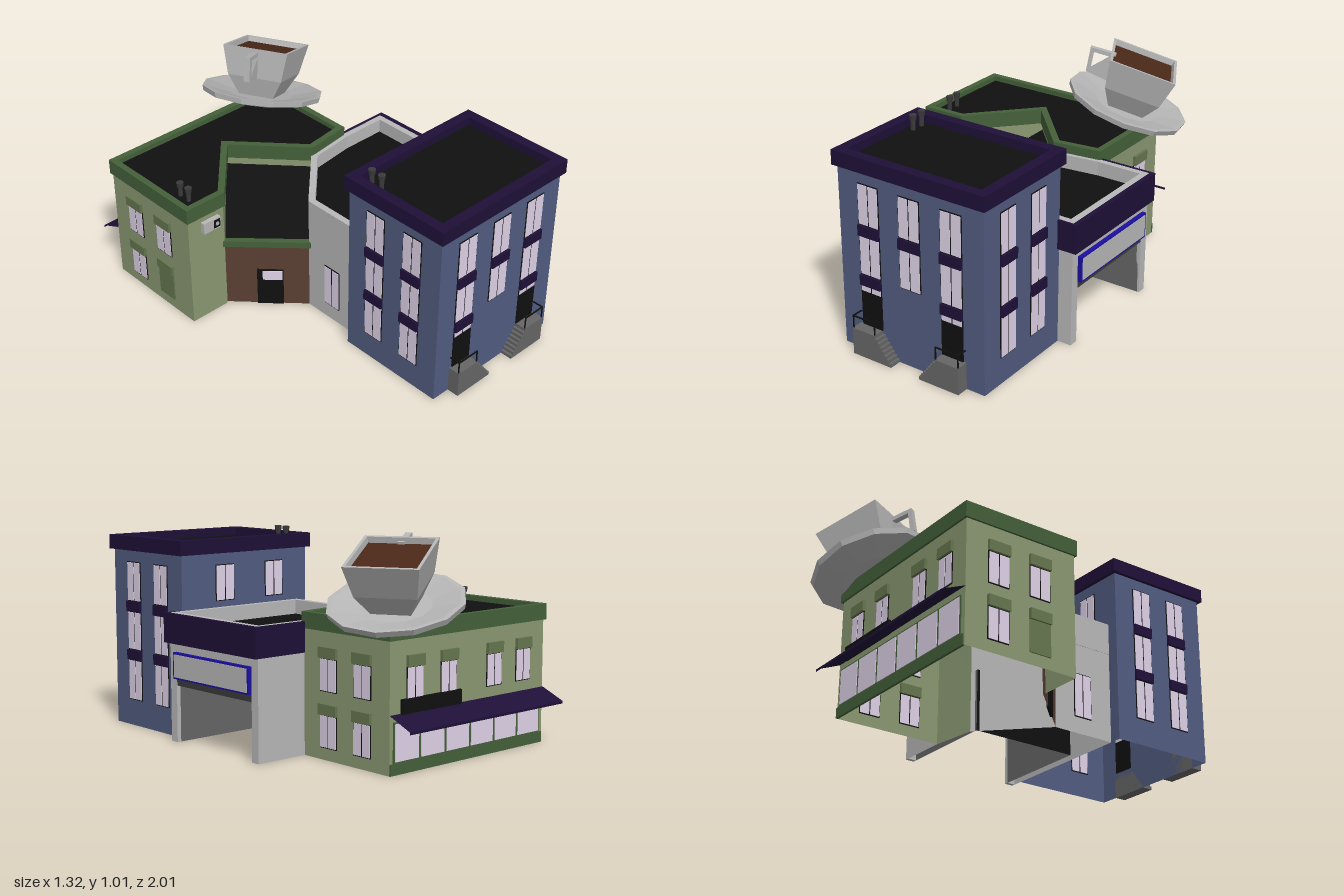
import * as THREE from 'three';

const C = { blue: 0x515c80, purple: 0x1f1038, green: 0x8a9872, trim: 0x44603a, lintel: 0x66764f, brown: 0x5a3f33,
  grey: 0xb8b8b8, stone: 0x666666, dark: 0x3a3a3a, black: 0x101010, glass: 0xdfd3e8, cup: 0xb4b4b4, coffee: 0x4a2818, sign: 0x1c10a0 };
const mats = {};
const mat = (c) => (mats[c] ??= new THREE.MeshStandardMaterial({ color: C[c], flatShading: true, side: THREE.DoubleSide }));

function add(parent, name, geo, color) {
  const m = new THREE.Mesh(geo, mat(color));
  m.name = name;
  parent.add(m);
  return m;
}
function box(parent, name, color, w, h, d, x, y, z) {
  const m = add(parent, name, new THREE.BoxGeometry(w, h, d), color);
  m.position.set(x, y, z);
  return m;
}
function group(parent, name, x = 0, y = 0, z = 0, ry = 0) {
  const g = new THREE.Group();
  g.name = name;
  g.position.set(x, y, z);
  g.rotation.y = ry;
  parent.add(g);
  return g;
}
const rect = (x0, z0, x1, z1) => [[x0, z0], [x1, z0], [x1, z1], [x0, z1]];

// Mitred inset of a floor plan (negative distance grows it)
function inset(pts, d) {
  const n = pts.length;
  let area = 0;
  pts.forEach(([x, z], i) => { const [u, v] = pts[(i + 1) % n]; area += x * v - u * z; });
  const s = Math.sign(area);
  const normal = (a, b) => {
    const l = Math.hypot(b[0] - a[0], b[1] - a[1]);
    return [-s * (b[1] - a[1]) / l, s * (b[0] - a[0]) / l];
  };
  return pts.map((p, i) => {
    const a = normal(pts[(i + n - 1) % n], p), b = normal(p, pts[(i + 1) % n]);
    const k = d / (1 + a[0] * b[0] + a[1] * b[1]);
    return [p[0] + (a[0] + b[0]) * k, p[1] + (a[1] + b[1]) * k];
  });
}
const plan = (pts) => pts.map(([x, z]) => new THREE.Vector2(x, -z));

// Parapet ring following a floor plan
function parapet(parent, name, pts, out, inn, y0, y1, color) {
  const s = new THREE.Shape(plan(inset(pts, -out)));
  s.holes.push(new THREE.Path(plan(inset(pts, inn))));
  const geo = new THREE.ExtrudeGeometry(s, { depth: y1 - y0, bevelEnabled: false });
  geo.rotateX(-Math.PI / 2).translate(0, y0, 0);
  add(parent, name, geo, color);
}
function flatRoof(parent, name, pts, y, color) {
  add(parent, name, new THREE.ShapeGeometry(new THREE.Shape(plan(pts))).rotateX(-Math.PI / 2).translate(0, y, 0), color);
}
function quad(parent, name, color, corners) {
  const geo = new THREE.BufferGeometry();
  geo.setAttribute('position', new THREE.Float32BufferAttribute(corners.flat(), 3));
  geo.setIndex([0, 1, 2, 0, 2, 3]);
  geo.computeVertexNormals();
  return add(parent, name, geo, color);
}
function wall(parent, name, color, [x0, z0], [x1, z1], y0, y1) {
  return quad(parent, name, color, [[x0, y0, z0], [x1, y0, z1], [x1, y1, z1], [x0, y1, z0]]);
}

// Window with a dark frame and two panes; y0 to y1, facing ry
function windowUnit(parent, x, z, y0, y1, w, ry) {
  const g = group(parent, 'window', x, (y0 + y1) / 2, z, ry), h = y1 - y0;
  box(g, 'frame', 'black', w, h, 0.008, 0, 0, 0);
  for (const s of [-1, 1]) box(g, 'pane', 'glass', w / 2 - 0.006, h - 0.008, 0.012, s * w / 4, 0, 0);
}
function ledge(parent, x, z, y, h, w, ry, color = 'purple') {
  box(group(parent, 'ledge', x, y, z, ry), 'ledgeBlock', color, w, h, 0.03, 0, 0, 0);
}
function vents(parent, x, y, zs) {
  for (const z of zs) {
    const g = group(parent, 'roofVent', x, y, z);
    add(g, 'ventPipe', new THREE.CylinderGeometry(0.011, 0.011, 0.06, 8), 'dark').position.y = 0.0;
    add(g, 'ventCap', new THREE.CylinderGeometry(0.018, 0.015, 0.025, 8), 'dark').position.y = 0.035;
  }
}

function townhouse(root) {
  const g = group(root, 'townhouse');
  const P = rect(-0.21, 0.39, 0.56, 0.94);
  P.forEach((p, i) => wall(g, 'blueWall', 'blue', p, P[(i + 1) % 4], 0, 0.9));
  parapet(g, 'purpleParapet', P, 0.018, 0.032, 0.87, 0.94, 'purple');
  flatRoof(g, 'roof', P, 0.9, 'black');
  vents(g, -0.14, 0.925, [0.455, 0.515]);
  // Front bays: two with doors, the middle one with windows only
  [-0.045, 0.175, 0.395].forEach((x, i) => {
    windowUnit(g, x, 0.94, 0.62, 0.815, 0.112, 0);
    windowUnit(g, x, 0.94, 0.38, 0.57, 0.112, 0);
    ledge(g, x, 0.94, 0.595, 0.05, 0.112, 0);
    if (i === 1) return;
    ledge(g, x, 0.94, 0.355, 0.05, 0.112, 0);
    windowUnit(g, x, 0.94, 0.295, 0.33, 0.112, 0);
    box(g, 'door', 'black', 0.112, 0.165, 0.012, x, 0.2125, 0.94);
  });
  // Side bays
  for (const [x, ry] of [[0.56, Math.PI / 2], [-0.21, -Math.PI / 2]]) for (const z of [0.555, 0.775]) {
    for (const [a, b] of [[0.13, 0.33], [0.38, 0.57], [0.62, 0.815]]) windowUnit(g, x, z, a, b, 0.108, ry);
    for (const y of [0.355, 0.595]) ledge(g, x, z, y, 0.05, 0.108, ry);
  }
  for (const x of [0.0, 0.305]) windowUnit(g, x, 0.39, 0.64, 0.815, 0.11, Math.PI);
  // Mirrored stoops with steps and railings
  for (const [x, s] of [[-0.115, 1], [0.465, -1]]) {
    const st = group(g, 'stoop', x, 0, 0.94), shape = new THREE.Shape().moveTo(0, 0).lineTo(0, 0.13);
    const n = 8;
    for (let i = 0; i < n; i++) {
      const sx = s * (0.125 + 0.1 * i / n), y = 0.13 * (1 - i / n);
      shape.lineTo(sx, y).lineTo(sx, y - 0.13 / n);
    }
    add(st, 'steps', new THREE.ExtrudeGeometry(shape, { depth: 0.06, bevelEnabled: false }), 'stone');
    box(st, 'frontRail', 'black', 0.125, 0.006, 0.005, s * 0.0625, 0.19, 0.055);
    box(st, 'sideRail', 'black', 0.005, 0.006, 0.055, s * 0.003, 0.19, 0.03);
    for (const px of [0.003, 0.122]) box(st, 'railPost', 'black', 0.005, 0.062, 0.005, s * px, 0.16, 0.055);
  }
}

function garage(root) {
  const g = group(root, 'parkingGarage');
  const P = [[0.63, 0.39], [-0.15, 0.39], [-0.15, 0.06], [0.13, -0.22], [0.37, -0.25], [0.63, -0.25]];
  for (let i = 0; i < 5; i++) wall(g, 'greyWall', 'grey', P[i], P[i + 1], 0, 0.56);
  parapet(g, 'greyParapet', P, 0.002, 0.03, 0.45, 0.61, 'grey');
  flatRoof(g, 'garageRoof', P, 0.54, 'black');
  // Purple fascia on the street corner
  box(g, 'fascia', 'purple', 0.022, 0.14, 0.67, 0.645, 0.541, 0.07);
  box(g, 'fasciaBack', 'purple', 0.285, 0.14, 0.015, 0.513, 0.541, -0.2575);
  box(g, 'fasciaFront', 'purple', 0.1, 0.14, 0.012, 0.606, 0.541, 0.399);
  // Street wall around the opening
  box(g, 'pillar', 'grey', 0.02, 0.5, 0.045, 0.62, 0.25, 0.367);
  box(g, 'pillar', 'grey', 0.02, 0.5, 0.045, 0.62, 0.25, -0.2275);
  box(g, 'lintelWall', 'grey', 0.02, 0.2, 0.55, 0.62, 0.405, 0.07);
  box(g, 'shutterBox', 'dark', 0.016, 0.035, 0.55, 0.62, 0.2875, 0.07);
  // Blank sign panel with a blue border
  box(g, 'signBorder', 'sign', 0.02, 0.125, 0.55, 0.64, 0.3675, 0.07);
  box(g, 'signPanel', 'grey', 0.004, 0.108, 0.533, 0.65, 0.3675, 0.07);
  // Dark parking bay
  for (const z of [0.345, -0.205]) wall(g, 'baySide', 'stone', [0.62, z], [0.1, z], 0, 0.305);
  wall(g, 'bayBack', 'black', [0.1, 0.345], [0.1, -0.205], 0, 0.305);
  flatRoof(g, 'bayCeiling', rect(0.1, -0.205, 0.62, 0.345), 0.305, 'dark');
  windowUnit(g, -0.15, 0.22, 0.08, 0.3, 0.1, -Math.PI / 2);
}

function cafe(root) {
  const g = group(root, 'cafe');
  const P = [[-0.435, -0.22], [-0.645, -0.22], [-0.645, -0.79], [0.36, -0.79], [0.36, -0.25], [0.13, -0.22], [-0.155, -0.53]];
  P.forEach((p, i) => wall(g, 'greenWall', 'green', p, P[(i + 1) % 7], i > 4 ? 0.3 : 0, 0.63));
  parapet(g, 'greenParapet', P, 0.01, 0.022, 0.58, 0.655, 'trim');
  flatRoof(g, 'cafeRoof', P, 0.63, 'black');
  vents(g, -0.57, 0.655, [-0.36, -0.3]);
  // Side windows with lintels
  for (const [x, ry] of [[0.36, Math.PI / 2], [-0.645, -Math.PI / 2]]) for (const z of [-0.41, -0.625]) for (const y of [0.055, 0.31]) {
    if (x < 0 && z > -0.5 && y < 0.1) box(g, 'boardedWindow', 'lintel', 0.012, 0.15, 0.11, x, 0.13, z);
    else windowUnit(g, x, z, y, y + 0.15, 0.108, ry);
    ledge(g, x, z, y + 0.175, 0.05, 0.112, ry, 'lintel');
  }
  // Shop front: upper windows, glazed strip, awning and blank name board
  for (const x of [0.21, 0, -0.3, -0.5]) {
    windowUnit(g, x, -0.79, 0.31, 0.46, 0.1, Math.PI);
    ledge(g, x, -0.79, 0.485, 0.05, 0.105, 0, 'lintel');
  }
  box(g, 'shopBase', 'trim', 1.0, 0.05, 0.012, -0.14, 0.025, -0.79);
  box(g, 'shopFrame', 'trim', 0.96, 0.18, 0.01, -0.14, 0.14, -0.79);
  for (let i = 0; i < 6; i++) box(g, 'shopPane', 'glass', 0.145, 0.165, 0.016, -0.54 + i * 0.16, 0.14, -0.79);
  quad(g, 'awning', 'purple', [[-0.65, 0.262, -0.79], [0.36, 0.262, -0.79], [0.36, 0.21, -0.91], [-0.65, 0.21, -0.91]]);
  quad(g, 'awningValance', 'purple', [[-0.65, 0.21, -0.91], [0.36, 0.21, -0.91], [0.36, 0.198, -0.91], [-0.65, 0.198, -0.91]]);
  box(g, 'nameBoard', 'black', 0.37, 0.065, 0.016, 0.11, 0.292, -0.797);
  // Air conditioner
  box(g, 'airConditioner', 'grey', 0.1, 0.058, 0.025, -0.52, 0.518, -0.21);
  box(g, 'fanGrille', 'black', 0.036, 0.042, 0.004, -0.493, 0.518, -0.197);
  add(g, 'fanHub', new THREE.CylinderGeometry(0.01, 0.01, 0.004, 8).rotateX(Math.PI / 2), 'grey').position.set(-0.493, 0.518, -0.194);
}

function entrance(root) {
  const g = group(root, 'cornerEntrance');
  wall(g, 'brownWall', 'brown', [-0.43, -0.23], [-0.15, 0.06], 0, 0.36);
  quad(g, 'slopedRoof', 'black', [[-0.43, 0.33, -0.23], [-0.15, 0.33, 0.06], [0.13, 0.54, -0.22], [-0.155, 0.54, -0.53]]);
  const f = group(g, 'entranceFront', -0.29, 0, -0.085, -Math.PI / 4);
  box(f, 'greenTrim', 'trim', 0.42, 0.032, 0.03, 0, 0.36, 0);
  box(f, 'door', 'black', 0.127, 0.205, 0.014, 0.014, 0.1025, 0);
  box(f, 'doorGlass', 'glass', 0.095, 0.052, 0.02, 0.025, 0.173, 0);
}

function cupAndSaucer(root) {
  const g = group(root, 'giantCup', 0.235, 0.72, -0.7);
  g.rotation.set(0, 0.49, -0.33, 'YXZ');
  const v = (pts, k = 1) => pts.map(([r, y]) => new THREE.Vector2(r * k, y));
  add(g, 'saucer', new THREE.LatheGeometry(v([[0, -0.045], [0.17, -0.045], [0.3, -0.012], [0.307, 0.015], [0.285, 0.015], [0.16, -0.012], [0, -0.012]]), 12), 'cup');
  // Square cup: half-widths turned into corner radii
  const body = v([[0, -0.01], [0.09, -0.01], [0.14, 0.09], [0.168, 0.24], [0.154, 0.24], [0.148, 0.2]], Math.SQRT2);
  add(g, 'cup', new THREE.LatheGeometry(body, 4, Math.PI / 4), 'cup');
  box(g, 'coffee', 'coffee', 0.3, 0.006, 0.3, 0, 0.21, 0);
  const h = new THREE.Shape(v([[-0.14, 0.225], [-0.27, 0.215], [-0.25, 0.09], [-0.13, 0.08]]));
  h.holes.push(new THREE.Path(v([[-0.14, 0.205], [-0.247, 0.197], [-0.232, 0.108], [-0.13, 0.1]])));
  add(g, 'handle', new THREE.ExtrudeGeometry(h, { depth: 0.03, bevelEnabled: false }), 'cup').position.z = -0.015;
}

export function createModel() {
  const root = new THREE.Group();
  root.name = 'streetCorner';
  for (const part of [townhouse, garage, cafe, entrance, cupAndSaucer]) part(root);
  return root;
}
